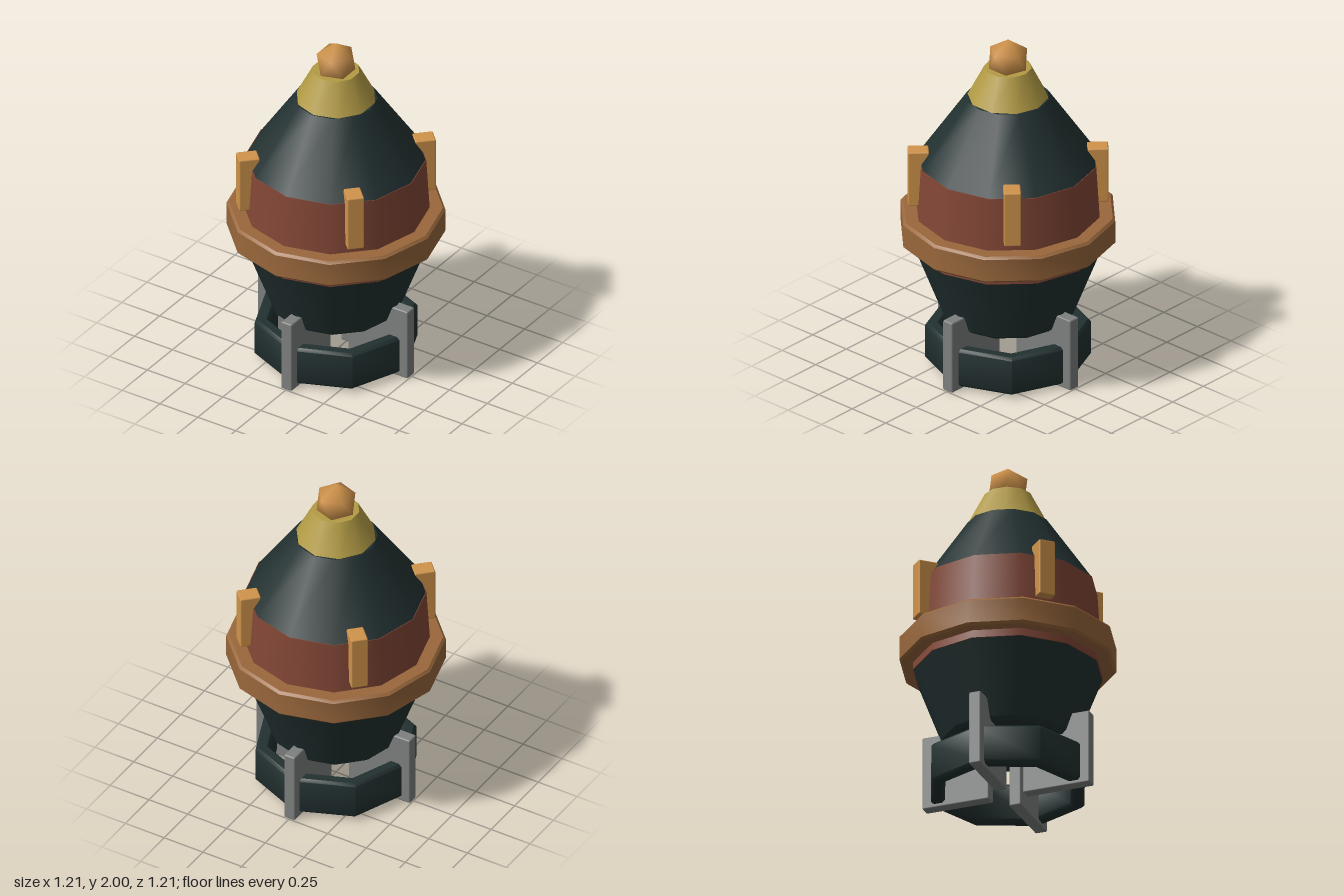
import * as THREE from 'three';
import { mergeVertices, toCreasedNormals } from 'three/addons/utils/BufferGeometryUtils.js';
import { RoundedBoxGeometry } from 'three/addons/geometries/RoundedBoxGeometry.js';

const material = (name, color) => {
  const m = new THREE.MeshStandardMaterial({ color });
  m.name = name;
  return m;
};

export function createModel() {
  const dark = material('dark teal', 0x223030);
  const red = material('rust red', 0x834736);
  const bronze = material('bronze', 0x9a683c);
  const orange = material('orange', 0xd1944b);
  const brass = material('brass', 0xb39c45);
  const grey = material('grey', 0x7e8080);

  const model = new THREE.Group();
  model.name = 'bomb';

  const add = (name, geometry, mat, parent = model) => {
    const mesh = new THREE.Mesh(geometry, mat);
    mesh.name = name;
    parent.add(mesh);
    return mesh;
  };

  // Closed frustum standing between two heights
  const frustum = (name, y0, r0, y1, r1, sides, mat) => {
    const mesh = add(name, new THREE.CylinderGeometry(r1, r0, y1 - y0, sides), mat);
    mesh.position.y = (y0 + y1) / 2;
  };

  // Bevelled ring with a rectangular section
  const ring = (name, inner, outer, y0, y1, bevel, sides, crease, mat) => {
    const profile = [
      [inner + bevel, y0], [outer - bevel, y0], [outer, y0 + bevel], [outer, y1 - bevel],
      [outer - bevel, y1], [inner + bevel, y1], [inner, y1 - bevel], [inner, y0 + bevel],
      [inner + bevel, y0],
    ].map(([x, y]) => new THREE.Vector2(x, y));
    add(name, toCreasedNormals(new THREE.LatheGeometry(profile, sides), crease), mat);
  };

  // Body sections, bottom to top
  frustum('bodyBottomEdge', 0.315, 0.345, 0.335, 0.368, 12, dark);
  frustum('lowerBody', 0.335, 0.368, 0.745, 0.525, 12, dark);
  frustum('middleBand', 0.745, 0.53, 1.26, 0.498, 12, red);
  frustum('upperBody', 1.26, 0.494, 1.65, 0.23, 12, dark);
  frustum('noseCone', 1.65, 0.224, 1.83, 0.132, 10, brass);

  // Thick collar around the band
  ring('collar', 0.49, 0.605, 0.79, 0.95, 0.014, 12, 0.6, bronze);

  // Faceted fuse tip, one vertex pointing straight up
  let tip = new THREE.IcosahedronGeometry(0.12, 0);
  tip.deleteAttribute('normal');
  tip.deleteAttribute('uv');
  tip = mergeVertices(tip);
  tip.computeVertexNormals();
  tip.rotateZ(-Math.atan(2 / (1 + Math.sqrt(5))));
  add('fuseTip', tip, orange).position.y = 1.88;

  // Four lugs on the diagonals
  for (let i = 0; i < 4; i++) {
    const pivot = new THREE.Group();
    pivot.name = 'lugMount';
    pivot.rotation.y = Math.PI / 4 + i * Math.PI / 2;
    model.add(pivot);
    add('lug', new RoundedBoxGeometry(0.095, 0.33, 0.117, 1, 0.008), orange, pivot)
      .position.set(0, 1.165, 0.495);
  }

  // Four radial tail fins
  for (let i = 0; i < 4; i++) {
    const pivot = new THREE.Group();
    pivot.name = 'finMount';
    pivot.rotation.y = i * Math.PI / 2;
    model.add(pivot);
    add('tailFin', new RoundedBoxGeometry(0.07, 0.433, 0.395, 1, 0.008), grey, pivot)
      .position.set(0, 0.2165, 0.2985);
  }

  // Octagonal ring joining the fins
  ring('tailRing', 0.375, 0.457, 0.02, 0.25, 0.016, 8, 0.786, dark);

  return model;
}
